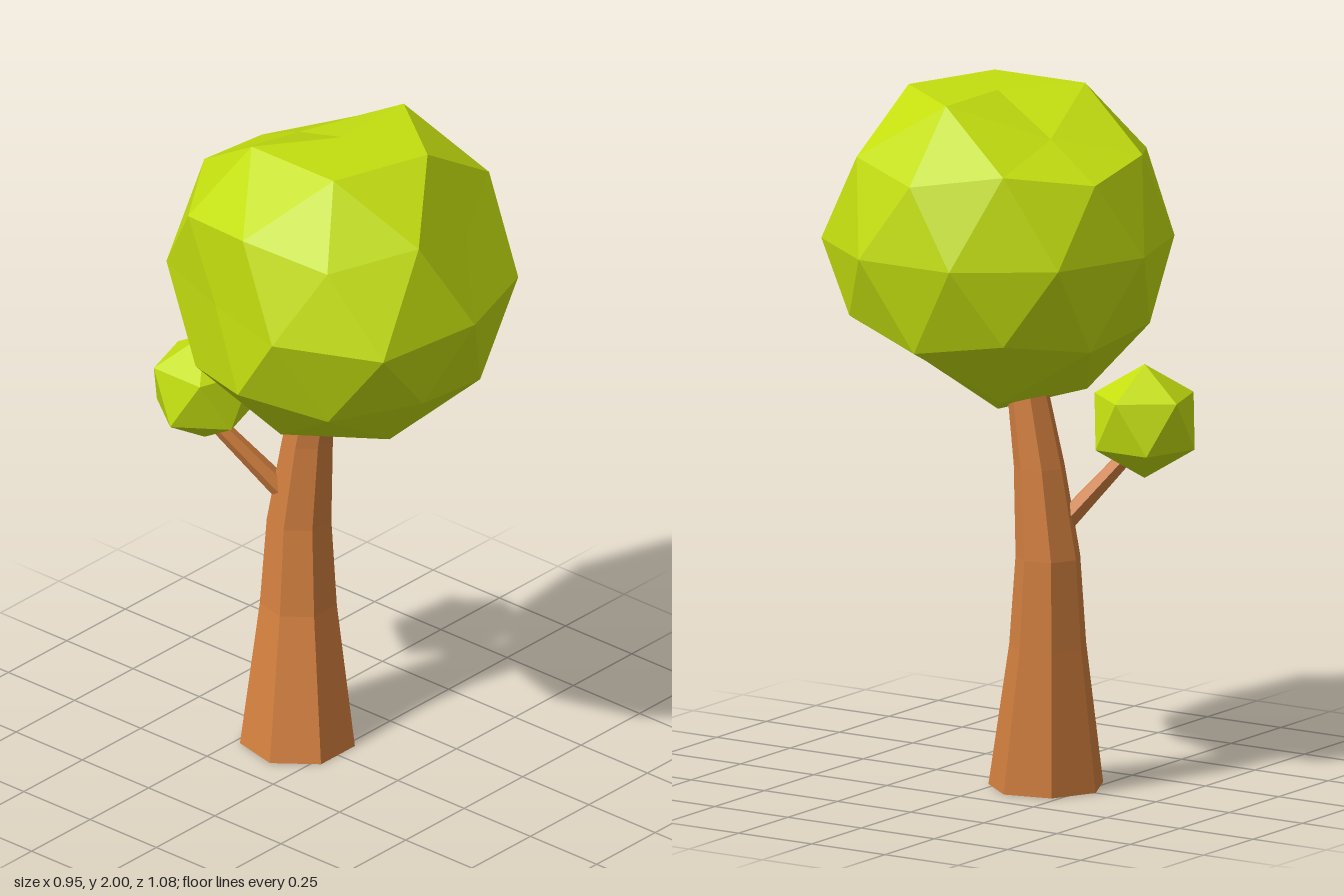
import * as THREE from 'three';

const leafMaterial = new THREE.MeshStandardMaterial({ color: 0xc3de0f, flatShading: true });
const barkMaterial = new THREE.MeshStandardMaterial({ color: 0xd27f3f, flatShading: true });

// Icosphere turned so that one corner points straight up
function foliage(name, radius, detail, center, dents = []) {
  const geometry = new THREE.IcosahedronGeometry(radius, detail);
  geometry.rotateZ(-Math.atan(2 / (1 + Math.sqrt(5))));
  const pos = geometry.attributes.position;
  const p = new THREE.Vector3();
  const near = new THREE.Vector3();
  for (let i = 0; i < pos.count; i++) {
    p.fromBufferAttribute(pos, i);
    for (const [from, to] of dents) {
      if (near.set(...from).distanceTo(p) < 0.06) {
        pos.setXYZ(i, ...to);
        break;
      }
    }
  }
  geometry.computeVertexNormals();
  const mesh = new THREE.Mesh(geometry, leafMaterial);
  mesh.name = name;
  mesh.position.set(...center);
  return mesh;
}

// Seven-sided trunk lofted through rings of [x, y, z, radius]
function trunk() {
  const rings = [
    [0, 0, -0.127, 0.167],
    [0.038, 0.42, -0.158, 0.112],
    [0.051, 0.68, -0.167, 0.094],
    [0.057, 0.94, -0.141, 0.074],
    [0.06, 1.2, -0.095, 0.057],
  ];
  const steps = rings.length - 1;
  const geometry = new THREE.CylinderGeometry(1, 1, 1, 7, steps, false, Math.PI);
  const pos = geometry.attributes.position;
  for (let i = 0; i < pos.count; i++) {
    const [x, y, z, r] = rings[Math.round((pos.getY(i) + 0.5) * steps)];
    pos.setXYZ(i, x + pos.getX(i) * r, y, z + pos.getZ(i) * r);
  }
  geometry.computeVertexNormals();
  const mesh = new THREE.Mesh(geometry, barkMaterial);
  mesh.name = 'trunk';
  return mesh;
}

// Tapered limb between two points
function branch(from, to, r0, r1) {
  const a = new THREE.Vector3(...from);
  const dir = new THREE.Vector3(...to).sub(a);
  const mesh = new THREE.Mesh(new THREE.CylinderGeometry(r1, r0, dir.length(), 6), barkMaterial);
  mesh.name = 'branch';
  mesh.position.copy(a).addScaledVector(dir, 0.5);
  mesh.quaternion.setFromUnitVectors(new THREE.Vector3(0, 1, 0), dir.normalize());
  return mesh;
}

export function createModel() {
  const tree = new THREE.Group();
  tree.name = 'tree';

  // Corners of the main crown that are pressed flat or pulled out: [from, to]
  const dents = [
    [[0, 0.5, 0], [0, 0.425, 0]],
    [[0.081, 0.425, -0.25], [0.08, 0.325, -0.235]],
    [[0.138, 0.224, 0.425], [0.12, 0.19, 0.36]],
    [[0.213, -0.425, 0.155], [0.175, -0.345, 0.127]],
    [[0.362, -0.224, 0.263], [0.362, -0.195, 0.263]],
    [[-0.475, 0, -0.154], [-0.4, 0, -0.125]],
    [[-0.294, 0, 0.405], [-0.34, 0, 0.455]],
  ];

  tree.add(
    trunk(),
    branch([0.03, 0.74, -0.17], [-0.125, 1.02, -0.375], 0.034, 0.022),
    foliage('mainCrown', 0.5, 1, [0, 1.572, 0.04], dents),
    foliage('smallCrown', 0.165, 0, [-0.09, 1.075, -0.4]),
  );
  return tree;
}
